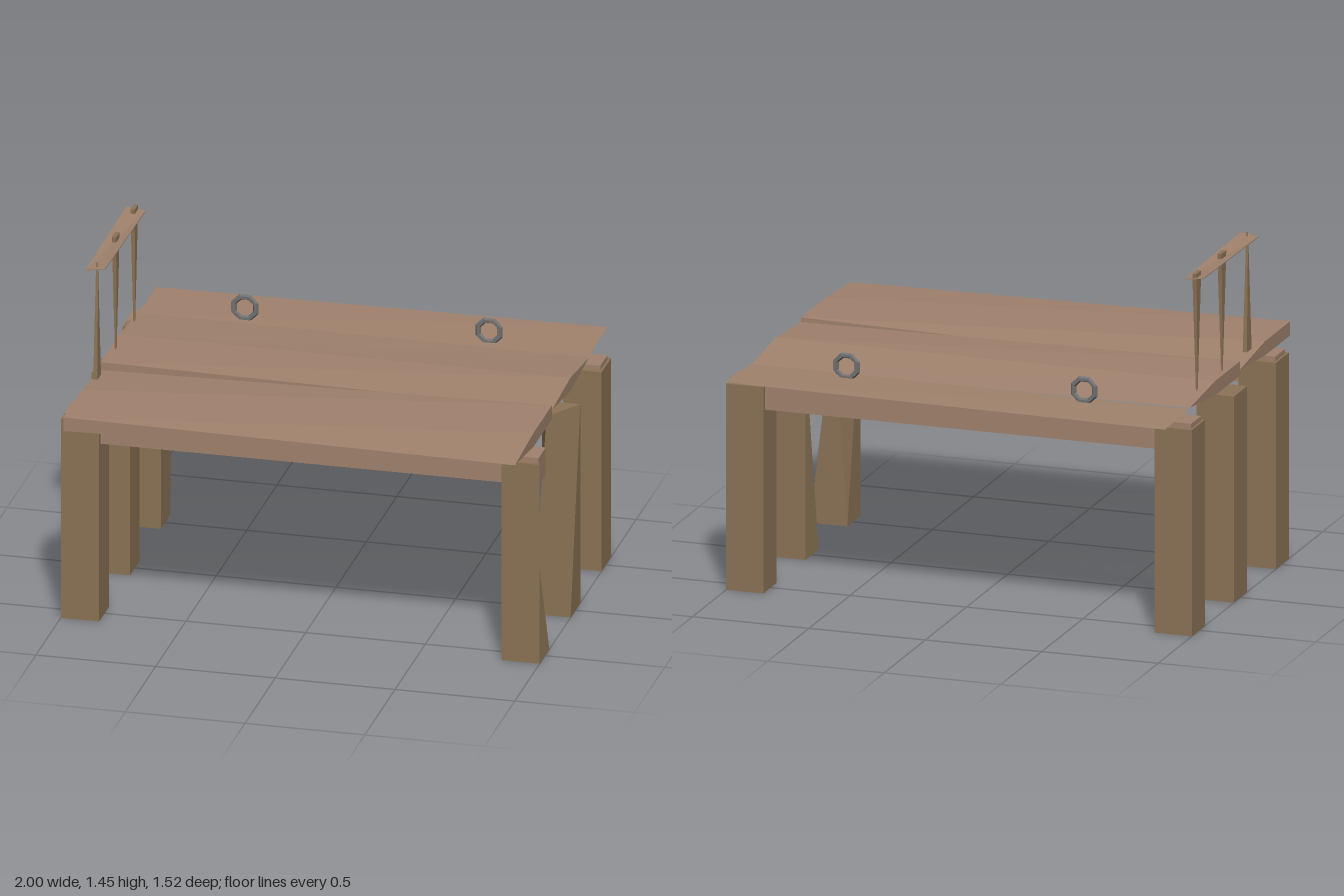
import * as THREE from 'three';

const material = (color) => new THREE.MeshStandardMaterial({ color, flatShading: true });

export function createModel() {
  const group = new THREE.Group();
  const paleWood = material(0xa0826d);
  const darkWood = material(0x8b7355);
  const iron = material(0x707070);

  // Box whose corners can be shifted: warp(corner, sx, sy, sz), with signs naming the corner
  const addBox = (name, mat, size, center, warp) => {
    const geometry = new THREE.BoxGeometry(...size).toNonIndexed();
    const pos = geometry.attributes.position;
    const v = new THREE.Vector3();
    for (let i = 0; i < pos.count; i++) {
      v.fromBufferAttribute(pos, i);
      const signs = [Math.sign(v.x), Math.sign(v.y), Math.sign(v.z)];
      v.x += center[0];
      v.y += center[1];
      v.z += center[2];
      if (warp) warp(v, ...signs);
      pos.setXYZ(i, v.x, v.y, v.z);
    }
    geometry.computeVertexNormals();
    const mesh = new THREE.Mesh(geometry, mat);
    mesh.name = name;
    group.add(mesh);
  };

  // Six legs; two on the left have one hewn-away top edge
  for (const side of [-1, 1]) {
    for (const z of [0.51, 0, -0.51]) {
      const cutSide = side < 0 || z < 0 ? 0 : z > 0 ? -1 : 1;
      addBox('leg', darkWood, [0.16, 0.87, 0.16], [side * 0.92, 0.435, z], (v, sx, sy, sz) => {
        if (cutSide && sy > 0 && sz === cutSide) v.x = 0.9;
      });
    }
  }

  // Cross beams under the deck
  for (const z of [0.51, -0.51]) addBox('beam', paleWood, [1.98, 0.12, 0.12], [0, 0.83, z]);

  // Deck planks, front to back; each list gives the height of corners worn to a thin edge:
  // [front left, front right, back left, back right], null keeps the full thickness
  const worn = [
    [0.93, null, null, null],
    [null, null, null, 0.915],
    [0.93, null, null, null],
    [null, null, 0.917, 0.923],
    [0.923, 0.917, 0.93, 0.915],
  ];
  worn.forEach((heights, i) => {
    addBox('plank', paleWood, [1.885, 0.06, 0.305], [-0.0025, 0.92, 0.6075 - i * 0.305], (v, sx, sy, sz) => {
      const y = heights[(sz > 0 ? 0 : 2) + (sx > 0 ? 0 : 1)];
      if (y !== null) v.y = y;
    });
  });

  // Railing posts: the front one narrows upwards, the others downwards
  for (const z of [0.3075, 0, -0.305]) {
    const pointed = z > 0 ? 1 : -1;
    addBox('railPost', darkWood, [0.018, 0.5, 0.058], [-0.92, 1.2, z], (v, sx, sy) => {
      if (sy === pointed) {
        v.z = z;
        v.x = -0.92 + sx * 0.004;
      }
    });
  }

  // Thin twisted handrail
  addBox('handrail', paleWood, [0.08, 0.004, 0.67], [-0.92, 1.43, 0], (v, sx, sy, sz) => {
    v.y += sx * sz * 0.005;
  });

  // Iron mooring rings
  for (const x of [-0.51, 0.51]) {
    const ring = new THREE.Mesh(new THREE.TorusGeometry(0.049, 0.012, 6, 8), iron);
    ring.name = 'ring';
    ring.position.set(x, 0.97, -0.512);
    ring.rotation.z = Math.PI / 8;
    group.add(ring);
  }

  return group;
}
